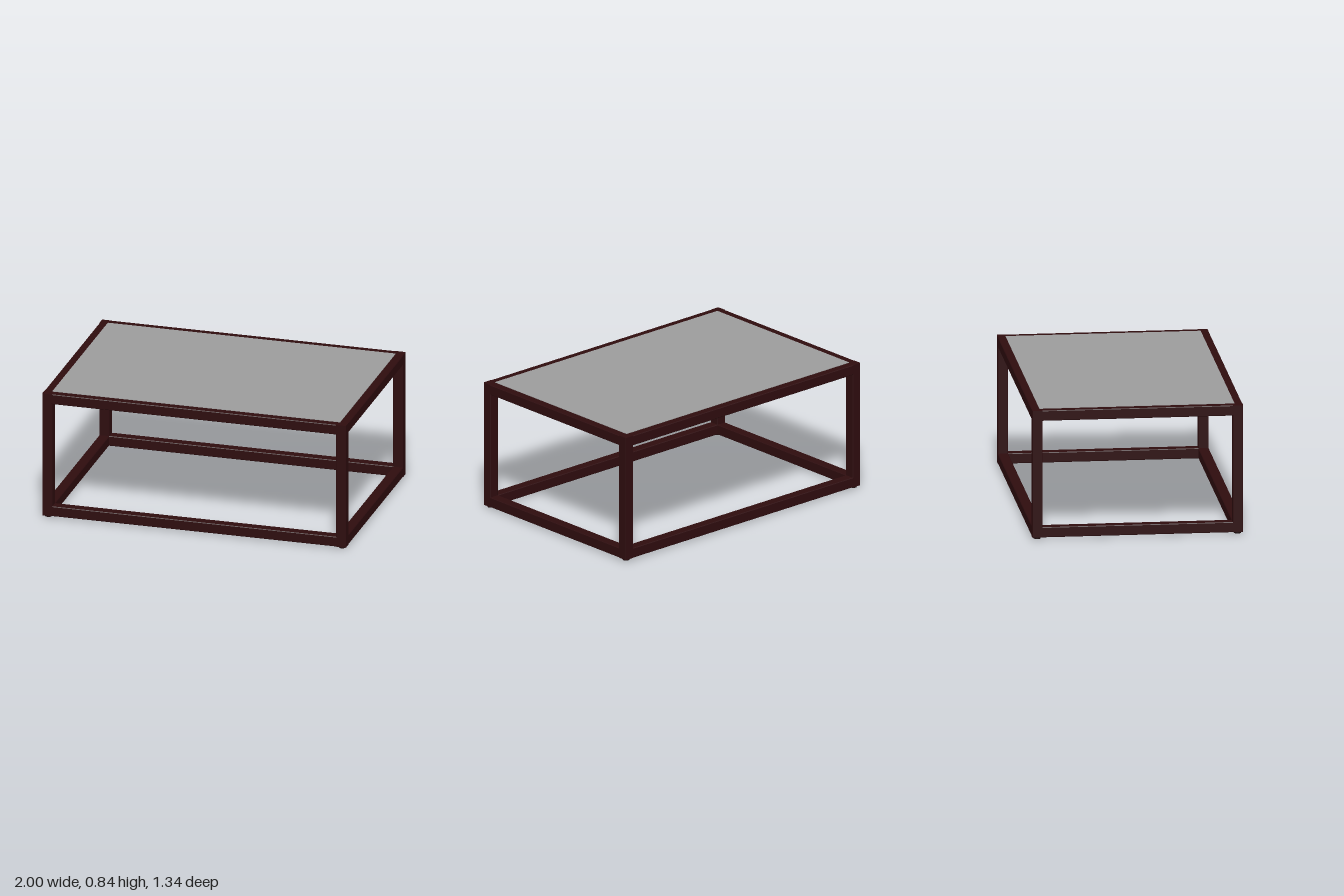
import * as THREE from 'three';

const HX = 1, HZ = 0.67;          // outer half width and half depth
const BAR = 0.066, CH = 0.004;    // bar section and its edge chamfer
const Y0 = 0.012, Y1 = 0.837;     // bottom and top of the frame

// Square bar with chamfered long edges, centred, running along z
function barGeometry(length) {
  const h = BAR / 2, c = h - CH;
  const shape = new THREE.Shape([
    [h, -c], [h, c], [c, h], [-c, h], [-h, c], [-h, -c], [-c, -h], [c, -h],
  ].map(([x, y]) => new THREE.Vector2(x, y)));
  return new THREE.ExtrudeGeometry(shape, { depth: length, bevelEnabled: false })
    .translate(0, 0, -length / 2);
}

export function createModel() {
  const wood = new THREE.MeshStandardMaterial({ color: 0x2e0c0e });
  wood.name = 'dark mahogany';
  const grey = new THREE.MeshStandardMaterial({ color: 0x9c9c9c });
  grey.name = 'grey glass';
  const black = new THREE.MeshStandardMaterial({ color: 0x1c0a0b });
  black.name = 'dark foot pad';

  const table = new THREE.Group();
  table.name = 'coffeeTable';
  const add = (name, geometry, material, x, y, z) => {
    const mesh = new THREE.Mesh(geometry, material);
    mesh.name = name;
    mesh.position.set(x, y, z);
    table.add(mesh);
  };

  const px = HX - BAR / 2, pz = HZ - BAR / 2;
  const legGeo = barGeometry(Y1 - Y0).rotateX(Math.PI / 2);
  const longGeo = barGeometry(2 * (HX - BAR + CH)).rotateY(Math.PI / 2);
  const shortGeo = barGeometry(2 * (HZ - BAR + CH));
  const padGeo = new THREE.CylinderGeometry(0.022, 0.022, 0.016, 20);

  // Corner posts with small round pads beneath
  for (const sx of [-1, 1]) for (const sz of [-1, 1]) {
    add('leg', legGeo, wood, sx * px, (Y0 + Y1) / 2, sz * pz);
    add('footPad', padGeo, black, sx * px, 0.008, sz * pz);
  }

  // Lower and upper rectangles of rails
  for (const [level, y] of [['lower', Y0 + BAR / 2], ['upper', Y1 - BAR / 2]]) {
    for (const s of [-1, 1]) {
      add(level + 'LongRail', longGeo, wood, 0, y, s * pz);
      add(level + 'ShortRail', shortGeo, wood, s * px, y, 0);
    }
  }

  // Inset top panel, a hair proud of the frame
  add('topPanel', new THREE.BoxGeometry(1.895, 0.02, 1.24), grey, 0, 0.83, 0);
  return table;
}
